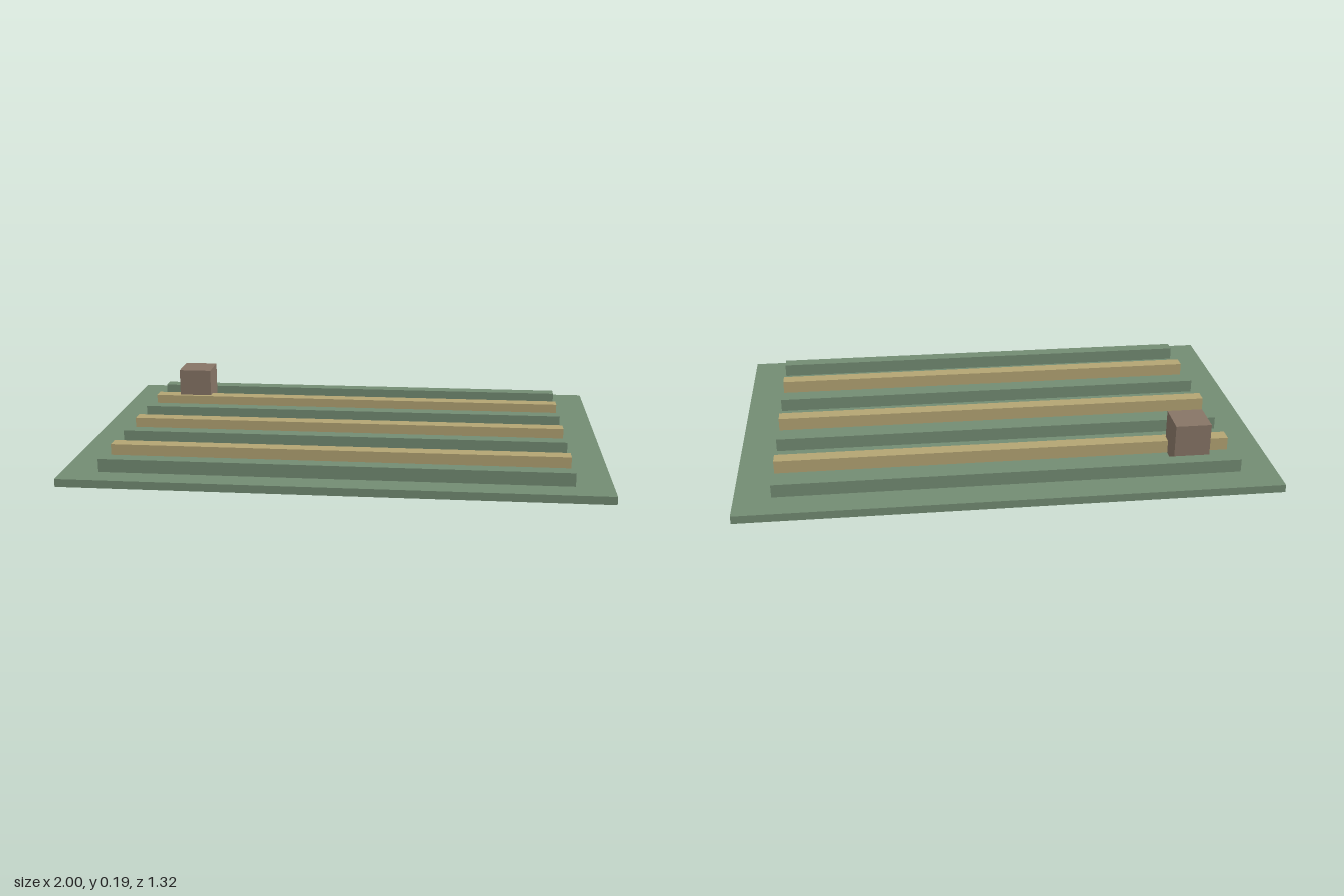
import * as THREE from 'three';

export function createModel() {
  const model = new THREE.Group();
  model.name = 'cropField';

  const material = (name, color) => {
    const m = new THREE.MeshStandardMaterial({ color });
    m.name = name;
    return m;
  };
  const green = material('fieldGreen', 0x738c73);
  const straw = material('strawTan', 0xb3a473);
  const brown = material('shedBrown', 0x877566);

  // Box standing on height y
  const addBox = (name, mat, w, h, d, x, y, z) => {
    const mesh = new THREE.Mesh(new THREE.BoxGeometry(w, h, d), mat);
    mesh.name = name;
    mesh.position.set(x, y + h / 2, z);
    model.add(mesh);
  };

  // Flat ground slab
  const slab = 0.03;
  addBox('ground', green, 2, slab, 1.323, 0, 0, 0);

  // Seven crop rows, alternating green and straw
  for (let i = -3; i <= 3; i++) {
    const isStraw = i % 2 === 0;
    addBox(isStraw ? 'strawRow' : 'greenRow', isStraw ? straw : green,
      1.73, 0.05, 0.053, 0, slab, 0.013 + 0.177 * i);
  }

  // Small shed over the end of a row
  addBox('shed', brown, 0.135, 0.16, 0.135, -0.697, slab, -0.398);

  return model;
}
